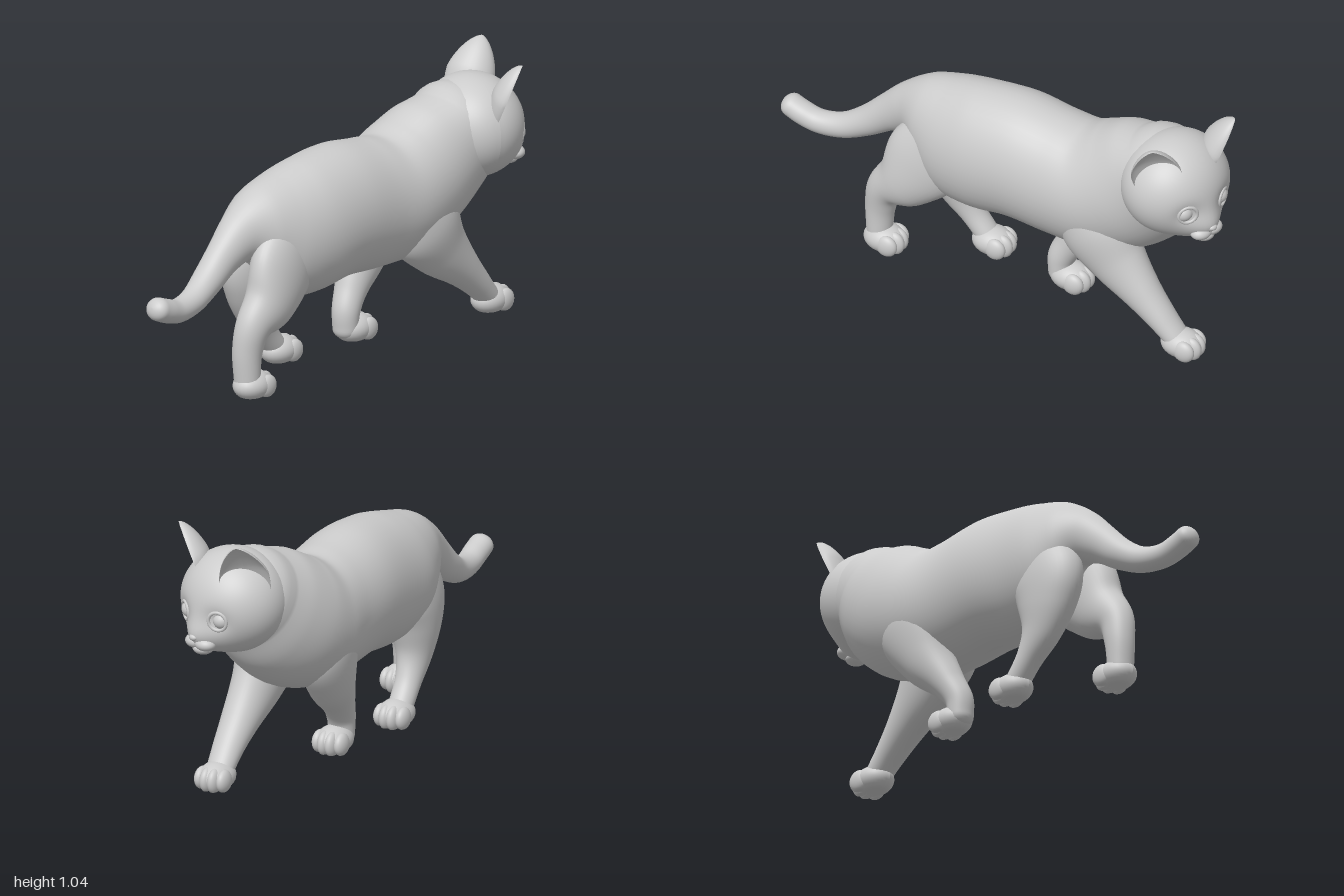
import * as THREE from 'three';

const material = new THREE.MeshStandardMaterial({ color: 0xcccccc, roughness: 0.75, side: THREE.DoubleSide });

function addMesh(parent, name, geometry) {
  const mesh = new THREE.Mesh(geometry, material);
  mesh.name = name;
  parent.add(mesh);
  return mesh;
}

// Smooth limb through rings of [x, y, z, radius in the xy plane, radius along z], with domed ends
function loft(parent, name, rings) {
  const sides = 40, steps = rings.length * 7, domeSteps = 7;
  const path = new THREE.CatmullRomCurve3(rings.map(r => new THREE.Vector3(r[0], r[1], r[2])));
  const radii = new THREE.CatmullRomCurve3(rings.map(r => new THREE.Vector3(r[3], r[4], 0)), false, 'catmullrom');
  const sections = [];
  for (let k = 0; k < domeSteps; k++) {
    const a = (k / domeSteps) * Math.PI / 2;
    sections.push([0, Math.max(Math.sin(a), 0.002), -Math.cos(a)]);
  }
  for (let k = 0; k <= steps; k++) sections.push([k / steps, 1, 0]);
  for (let k = domeSteps - 1; k >= 0; k--) {
    const a = (k / domeSteps) * Math.PI / 2;
    sections.push([1, Math.max(Math.sin(a), 0.002), Math.cos(a)]);
  }
  // Direction averaged along the path, so wide sections do not fold over in bends
  const direction = t => {
    const sum = new THREE.Vector3();
    for (let k = -4; k <= 4; k++) sum.add(path.getTangent(THREE.MathUtils.clamp(t + k * 0.02, 0, 1)));
    return sum.setZ(0).normalize();
  };
  const positions = [], index = [];
  sections.forEach(([t, scale, push], i) => {
    const c = path.getPoint(t), d = direction(t), r = radii.getPoint(t);
    const shift = push * Math.min(r.x, r.y) * 0.85;
    for (let j = 0; j < sides; j++) {
      const a = (j / sides) * Math.PI * 2;
      const u = Math.cos(a) * r.x * scale, w = Math.sin(a) * r.y * scale;
      positions.push(c.x + d.x * shift - d.y * u, Math.max(0, c.y + d.y * shift + d.x * u), c.z + w);
      if (i < sections.length - 1) {
        const p = i * sides + j, q = i * sides + (j + 1) % sides;
        index.push(p, q, p + sides, q, q + sides, p + sides);
      }
    }
  });
  const geometry = new THREE.BufferGeometry();
  geometry.setAttribute('position', new THREE.Float32BufferAttribute(positions, 3));
  geometry.setIndex(index);
  geometry.computeVertexNormals();
  addMesh(parent, name, geometry);
}

// Ellipsoid, optionally cut flat where it meets the ground
function ellipsoid(parent, name, [x, y, z], [rx, ry, rz], flatBase = false) {
  const g = new THREE.SphereGeometry(1, 28, 20).scale(rx, ry, rz).translate(x, y, z);
  if (flatBase) {
    const p = g.attributes.position;
    for (let i = 0; i < p.count; i++) p.setY(i, Math.max(0, p.getY(i)));
    g.computeVertexNormals();
  }
  addMesh(parent, name, g);
}

// Paw with four toes pointing along +x
function addPaw(parent, name, x, z) {
  const paw = new THREE.Group();
  paw.name = name;
  ellipsoid(paw, 'pawPad', [-0.003, 0.045, 0], [0.085, 0.057, 0.07], true);
  for (const s of [-1.5, -0.5, 0.5, 1.5]) {
    const inner = Math.abs(s) < 1;
    ellipsoid(paw, 'toe', [inner ? 0.045 : 0.03, 0.04, s * 0.032], [0.045, inner ? 0.05 : 0.045, 0.026], true);
  }
  paw.position.set(x, 0, z);
  parent.add(paw);
}

// Cupped ear: convex back, hollow front, tapering to a rounded tip
function addEar(parent, name, side, tip) {
  const g = new THREE.CylinderGeometry(1, 1, 1, 32, 24, true);
  const p = g.attributes.position;
  const base = new THREE.Vector3(side * 0.118, 0.075, 0.03);
  const up = new THREE.Vector3(...tip).sub(base);
  const height = up.length();
  for (let i = 0; i < p.count; i++) {
    const t = Math.sin((p.getY(i) + 0.5) * Math.PI / 2), c = p.getX(i), s = p.getZ(i);
    const taper = Math.pow(Math.max(0, 1 - Math.pow(t, 2.1)), 0.68);
    const w = 0.108 * taper * (0.78 + 0.22 * Math.min(1, t / 0.4)) + 0.0005;
    const z = s < 0 ? s * w * 0.7 : -s * w * 0.5;
    p.setXYZ(i, c * w, t * height, z + 0.03 * (1 - t));
  }
  g.computeVertexNormals();
  up.normalize();
  const front = new THREE.Vector3(side * 0.66, 0, 0.75);
  const across = new THREE.Vector3().crossVectors(up, front).normalize();
  front.crossVectors(across, up);
  g.applyMatrix4(new THREE.Matrix4().makeBasis(across, up, front).setPosition(base));
  addMesh(parent, name, g);
}

function addHead(parent) {
  const head = new THREE.Group();
  head.name = 'head';

  // Skull with a raised muzzle and shallow eye sockets
  const g = new THREE.SphereGeometry(1, 72, 56).scale(0.22, 0.205, 0.2);
  const p = g.attributes.position;
  const bump = (x, y, r) => Math.exp(-(x * x + y * y) / (r * r));
  for (let i = 0; i < p.count; i++) {
    const x = p.getX(i), y = p.getY(i), z = p.getZ(i);
    if (z <= 0) continue;
    const socket = bump(Math.abs(x) - 0.09, y + 0.035, 0.045);
    p.setZ(i, z + Math.min(1, z / 0.1) * (0.056 * bump(x, y + 0.135, 0.08) - 0.018 * socket));
  }
  g.computeVertexNormals();
  addMesh(head, 'skull', g);

  // Nose and chin
  ellipsoid(head, 'chin', [0, -0.163, 0.162], [0.042, 0.026, 0.042]);
  ellipsoid(head, 'nose', [0, -0.11, 0.213], [0.019, 0.013, 0.015]);

  // Paired features
  for (const side of [-1, 1]) {
    const label = side > 0 ? 'right' : 'left';
    ellipsoid(head, label + 'MuzzlePad', [side * 0.027, -0.138, 0.176], [0.045, 0.028, 0.039]);
    ellipsoid(head, label + 'Eye', [side * 0.09, -0.033, 0.146], [0.036, 0.034, 0.036]);
    const lid = addMesh(head, label + 'Eyelid', new THREE.TorusGeometry(0.037, 0.007, 10, 32));
    lid.position.set(side * 0.09, -0.033, 0.171);
    lid.rotation.set(0.1, side * 0.45, 0);
  }

  // One ear turned slightly further forward than the other
  addEar(head, 'leftEar', -1, [-0.212, 0.28, 0.1]);
  addEar(head, 'rightEar', 1, [0.172, 0.28, 0.152]);
  head.position.set(0.78, 0.76, 0.028);
  head.rotation.y = THREE.MathUtils.degToRad(71);
  parent.add(head);
}

export function createModel() {
  const cat = new THREE.Group();
  cat.name = 'walkingCat';

  // One continuous form from tail tip through rump, trunk and chest to the neck
  loft(cat, 'bodyAndTail', [
    [-0.958, 0.455, -0.085, 0.046, 0.05], [-0.91, 0.435, -0.085, 0.047, 0.05],
    [-0.84, 0.415, -0.09, 0.047, 0.049], [-0.74, 0.425, -0.1, 0.051, 0.052],
    [-0.64, 0.475, -0.11, 0.061, 0.06], [-0.54, 0.55, -0.11, 0.077, 0.068],
    [-0.45, 0.605, -0.105, 0.11, 0.092], [-0.37, 0.606, -0.095, 0.18, 0.142],
    [-0.26, 0.572, -0.085, 0.25, 0.186], [-0.12, 0.572, -0.07, 0.272, 0.206],
    [0.06, 0.585, -0.065, 0.268, 0.215], [0.24, 0.565, -0.06, 0.262, 0.215],
    [0.38, 0.56, -0.058, 0.258, 0.226], [0.52, 0.61, -0.052, 0.26, 0.225],
    [0.64, 0.69, -0.032, 0.245, 0.21], [0.725, 0.755, -0.005, 0.205, 0.196],
  ]);

  // Legs in mid stride, rising out of the trunk
  loft(cat, 'frontLeftLeg', [
    [0.37, 0.57, 0.04, 0.12, 0.1], [0.46, 0.45, 0.052, 0.165, 0.115],
    [0.55, 0.33, 0.06, 0.125, 0.094], [0.66, 0.22, 0.07, 0.08, 0.075],
    [0.75, 0.13, 0.075, 0.056, 0.062], [0.815, 0.06, 0.075, 0.045, 0.055],
  ]);
  loft(cat, 'frontRightLeg', [
    [0.43, 0.57, -0.165, 0.12, 0.1], [0.39, 0.45, -0.165, 0.155, 0.102],
    [0.33, 0.31, -0.15, 0.11, 0.09], [0.25, 0.20, -0.133, 0.068, 0.066],
    [0.205, 0.12, -0.12, 0.055, 0.056], [0.2, 0.05, -0.118, 0.048, 0.052],
  ]);
  loft(cat, 'hindLeftLeg', [
    [-0.24, 0.58, -0.02, 0.15, 0.09], [-0.33, 0.46, 0.0, 0.165, 0.09],
    [-0.415, 0.348, 0.01, 0.12, 0.085], [-0.50, 0.275, 0.006, 0.076, 0.067],
    [-0.525, 0.18, -0.002, 0.06, 0.058], [-0.528, 0.06, 0, 0.05, 0.052],
  ]);
  loft(cat, 'hindRightLeg', [
    [-0.24, 0.57, -0.15, 0.15, 0.095], [-0.295, 0.45, -0.16, 0.165, 0.098],
    [-0.295, 0.34, -0.165, 0.13, 0.088], [-0.27, 0.235, -0.172, 0.085, 0.066],
    [-0.215, 0.145, -0.178, 0.053, 0.052], [-0.15, 0.06, -0.18, 0.045, 0.05],
  ]);

  addPaw(cat, 'frontLeftPaw', 0.837, 0.075);
  addPaw(cat, 'frontRightPaw', 0.25, -0.115);
  addPaw(cat, 'hindLeftPaw', -0.5, 0.005);
  addPaw(cat, 'hindRightPaw', -0.125, -0.176);

  addHead(cat);
  return cat;
}
